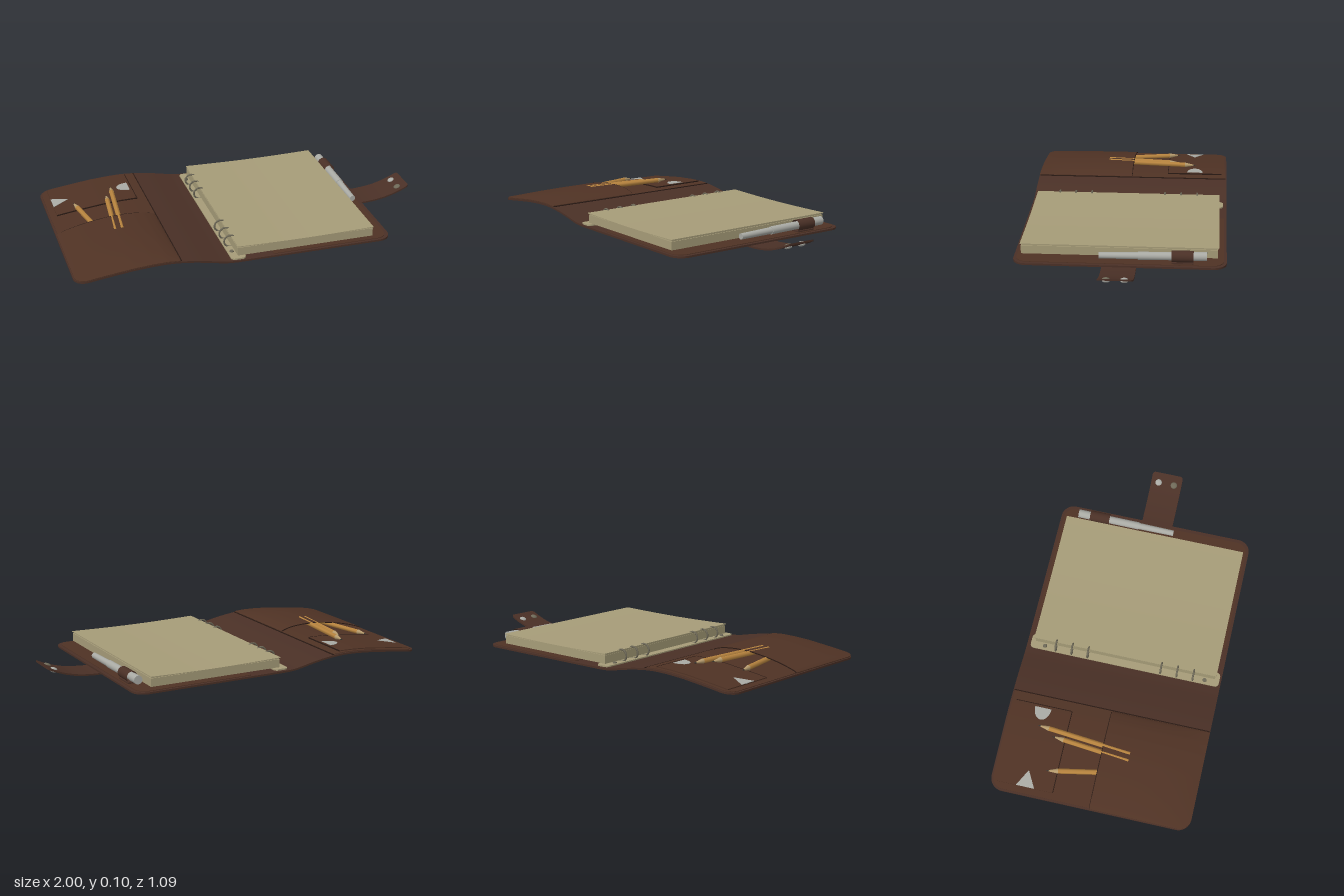
import * as THREE from 'three';

const mat = (name, color) => Object.assign(new THREE.MeshStandardMaterial({ color }), { name });

// Piecewise height profile along x
const profile = (pts) => (x) => {
  if (x <= pts[0][0]) return pts[0][1];
  for (let i = 1; i < pts.length; i++) {
    const [a, ya] = pts[i - 1], [b, yb] = pts[i];
    if (x <= b) return ya + (yb - ya) * (x - a) / (b - a);
  }
  return pts[pts.length - 1][1];
};

// Half width that rounds off the corners at both ends
const rounded = (x0, x1, half, r0, r1 = r0) => (x) => {
  const cut = (d, r) => (d < r ? r - Math.sqrt(Math.max(0, r * r - (r - d) ** 2)) : 0);
  return half - Math.max(cut(x - x0, r0), cut(x1 - x, r1));
};

// Bent sheet: a box whose underside follows base(x, z, u, v)
function sheet(x0, x1, zMid, half, base, thick, nx = 48, nz = 12) {
  const g = new THREE.BoxGeometry(1, 1, 1, nx, 1, nz);
  const p = g.attributes.position;
  for (let i = 0; i < p.count; i++) {
    const u = (1 - Math.cos(Math.PI * (p.getX(i) + 0.5))) / 2;
    const v = p.getZ(i) + 0.5;
    const x = x0 + (x1 - x0) * u;
    const z = zMid + (typeof half === 'function' ? half(x) : half) * (2 * v - 1);
    p.setXYZ(i, x, base(x, z, u, v) + (p.getY(i) > 0 ? thick : 0), z);
  }
  g.computeVertexNormals();
  return g;
}

export function createModel() {
  const model = new THREE.Group();
  model.name = 'organizer';
  const leather = mat('dark leather', 0x4a3026);
  const lining = mat('pocket leather', 0x4f3224);
  const seamMat = mat('seam', 0x2a1a14);
  const paper = mat('paper', 0xa69c78);
  const silver = mat('silver', 0xa9aaa4);
  const ringMetal = mat('ring metal', 0x6e6958);
  const pencilPaint = mat('pencil paint', 0xb9853f);
  const pencilWood = mat('pencil wood', 0xb59a6c);
  const lead = mat('lead', 0x3a3733);
  leather.side = THREE.DoubleSide;

  const add = (name, geo, material, parent = model) => {
    const m = new THREE.Mesh(geo, material);
    m.name = name;
    parent.add(m);
    return m;
  };
  // Round bar between two points
  const bar = (name, a, b, ra, rb, sides, material, parent) => {
    const d = b.clone().sub(a);
    const m = add(name, new THREE.CylinderGeometry(rb, ra, d.length(), sides), material, parent);
    m.position.copy(a).addScaledVector(d, 0.5);
    m.quaternion.setFromUnitVectors(new THREE.Vector3(0, 1, 0), d.normalize());
    return m;
  };

  // Cover, bent up at the left half
  const coverY = profile([[-1, 0.012], [-0.95, 0.018], [-0.88, 0.028], [-0.8, 0.038], [-0.7, 0.05],
    [-0.6, 0.057], [-0.52, 0.059], [-0.45, 0.055], [-0.38, 0.046], [-0.3, 0.032], [-0.24, 0.019],
    [-0.2, 0.012], [-0.15, 0.01], [0.71, 0.009]]);
  add('cover', sheet(-1, 0.71, -0.005, rounded(-1, 0.71, 0.545, 0.07), coverY, 0.01, 80, 4), leather);

  // Lining panel on the left half, with its seam
  const top = (h) => (x) => coverY(x) + h;
  add('leftLining', sheet(-0.99, -0.452, -0.005, rounded(-0.99, -0.452, 0.535, 0.065, 0.005), top(0.009), 0.004), lining);
  add('liningSeam', sheet(-0.453, -0.447, -0.005, 0.54, top(0.0095), 0.004, 2, 2), seamMat);
  add('rightLining', sheet(0.05, 0.69, -0.005, rounded(0.05, 0.69, 0.53, 0.005, 0.06), top(0.009), 0.004), lining);

  // Bulging front pocket, open toward the middle
  const bulge = (x, z, u, v) =>
    coverY(x) + 0.011 + 0.029 * Math.pow(Math.sin(Math.PI * u), 0.6) * (1 - v ** 4);
  const pocketHalf = rounded(-0.995, -0.455, 0.27, 0.065, 0.005);
  const pocket = sheet(-0.995, -0.455, 0.27, 0.27, bulge, 0.004, 48, 24);
  // Keep the mouth straight and round only the outer corner
  const pp = pocket.attributes.position;
  for (let i = 0; i < pp.count; i++) {
    const end = 0.27 + pocketHalf(pp.getX(i));
    pp.setZ(i, pp.getZ(i) * end / 0.54);
  }
  pocket.computeVertexNormals();
  add('frontPocket', pocket, lining);
  add('pocketLip', sheet(-0.99, -0.46, -0.001, 0.002, (x, z, u) => bulge(x, z, u, 0), 0.0045, 48, 1), seamMat);

  // Card pocket with a triangular and a half-round window
  add('cardPocket', sheet(-0.955, -0.505, -0.365, 0.155, top(0.013), 0.005), lining);
  add('cardPocketEdge', sheet(-0.955, -0.505, -0.209, 0.002, top(0.013), 0.006, 24, 1), seamMat);
  add('cardPocketSide', sheet(-0.507, -0.503, -0.365, 0.155, top(0.013), 0.006, 1, 1), seamMat);
  add('triangleWindow', sheet(-0.955, -0.865, -0.36, (x) => 0.05 * (-0.865 - x) / 0.09, top(0.016), 0.004, 16, 1), silver);
  add('roundWindow', sheet(-0.587, -0.52, -0.365,
    (x) => 0.045 * Math.sqrt(Math.max(0, 1 - ((-0.52 - x) / 0.067) ** 2)), top(0.016), 0.004, 20, 1), silver);

  // Pencils: [tip x, tip z, x at the pocket mouth]
  for (const [tx, tz, mx] of [[-0.852, -0.27, -0.8], [-0.665, -0.28, -0.692], [-0.622, -0.37, -0.655]]) {
    const g = new THREE.Group();
    g.name = 'pencil';
    model.add(g);
    const y = coverY((tx + mx) / 2) + 0.029;
    const tip = new THREE.Vector3(tx, y + 0.002, tz);
    const dir = new THREE.Vector3(mx - tx, 0, -tz).normalize();
    const at = (d) => tip.clone().addScaledVector(dir, d);
    bar('pencilBody', at(0.065), at(-tz + 0.15), 0.014, 0.014, 6, pencilPaint, g);
    bar('pencilCone', at(0.016), at(0.065), 0.004, 0.014, 12, pencilWood, g);
    bar('pencilLead', at(0), at(0.016), 0.0005, 0.004, 8, lead, g);
  }

  // Page block, slightly sagging toward the outer edge
  add('pageBlock', sheet(-0.14, 0.61, 0, 0.505, () => 0.03, 0.044), paper);
  const sag = (x) => 0.081 - 0.006 * Math.sin(Math.PI * (x + 0.14) / 0.75);
  add('middlePages', sheet(-0.137, 0.605, 0, 0.5, (x) => sag(x) - 0.012, 0.011), paper);
  add('topPage', sheet(-0.142, 0.612, 0, 0.51, sag, 0.004), paper);

  // Ring strip, rivets and rings
  add('ringStrip', sheet(-0.18, -0.1, 0, rounded(-0.18, -0.1, 0.53, 0.02), () => 0.019, 0.009, 24, 2), paper);
  for (const s of [-1, 1]) {
    const rivet = add('stripRivet', new THREE.CylinderGeometry(0.01, 0.012, 0.008, 16), ringMetal);
    rivet.position.set(-0.157, 0.03, s * 0.45);
    for (const z of [0.205, 0.295, 0.385]) {
      const ring = add('binderRing', new THREE.TorusGeometry(0.032, 0.005, 8, 32), ringMetal);
      ring.position.set(-0.147, 0.056, s * z);
    }
  }

  // Pen with its leather loop
  const penAt = (z) => new THREE.Vector3(0.655, 0.058 - 0.008 * (z + 0.45) / 0.55, z);
  bar('penBarrel', penAt(0.1), penAt(-0.1), 0.016, 0.018, 24, silver);
  bar('penGrip', penAt(-0.1), penAt(-0.4), 0.021, 0.021, 24, silver);
  bar('penCap', penAt(-0.38), penAt(-0.45), 0.023, 0.023, 24, silver);
  const loop = add('penLoop', new THREE.CylinderGeometry(0.03, 0.03, 0.112, 32, 1, true), leather);
  loop.rotation.x = Math.PI / 2;
  loop.position.set(0.657, 0.056, -0.326);
  add('penLoopTab', new THREE.BoxGeometry(0.05, 0.01, 0.112), leather).position.set(0.655, 0.024, -0.326);

  // Closing strap, curling up at the free end
  const strapY = profile([[0.56, 0], [0.74, 0.001], [0.8, 0.006], [0.85, 0.014], [0.9, 0.027],
    [0.95, 0.045], [1, 0.068]]);
  add('strap', sheet(0.56, 1, -0.005, rounded(0.56, 1, 0.088, 0.015), strapY, 0.009, 48, 2), leather);

  // Snap fasteners on the strap and under the left cover
  const snap = (name, x, y, z, tilt, material) => {
    const s = add(name, new THREE.SphereGeometry(0.019, 20, 12), material);
    s.scale.y = 0.45;
    s.rotation.z = tilt;
    s.position.set(x, y, z);
  };
  for (const [z, m] of [[-0.05, silver], [0.04, ringMetal]]) {
    snap('strapSnapTop', 0.948, 0.054, z, 0.4, m);
    snap('strapSnapUnder', 0.952, 0.045, z, 0.4, silver);
    snap('coverSnap', -0.82, 0.03, z, 0.12, silver);
    bar('coverSnapStud', new THREE.Vector3(-0.82, 0.03, z), new THREE.Vector3(-0.818, 0.014, z), 0.009, 0.008, 16, silver);
  }
  return model;
}
